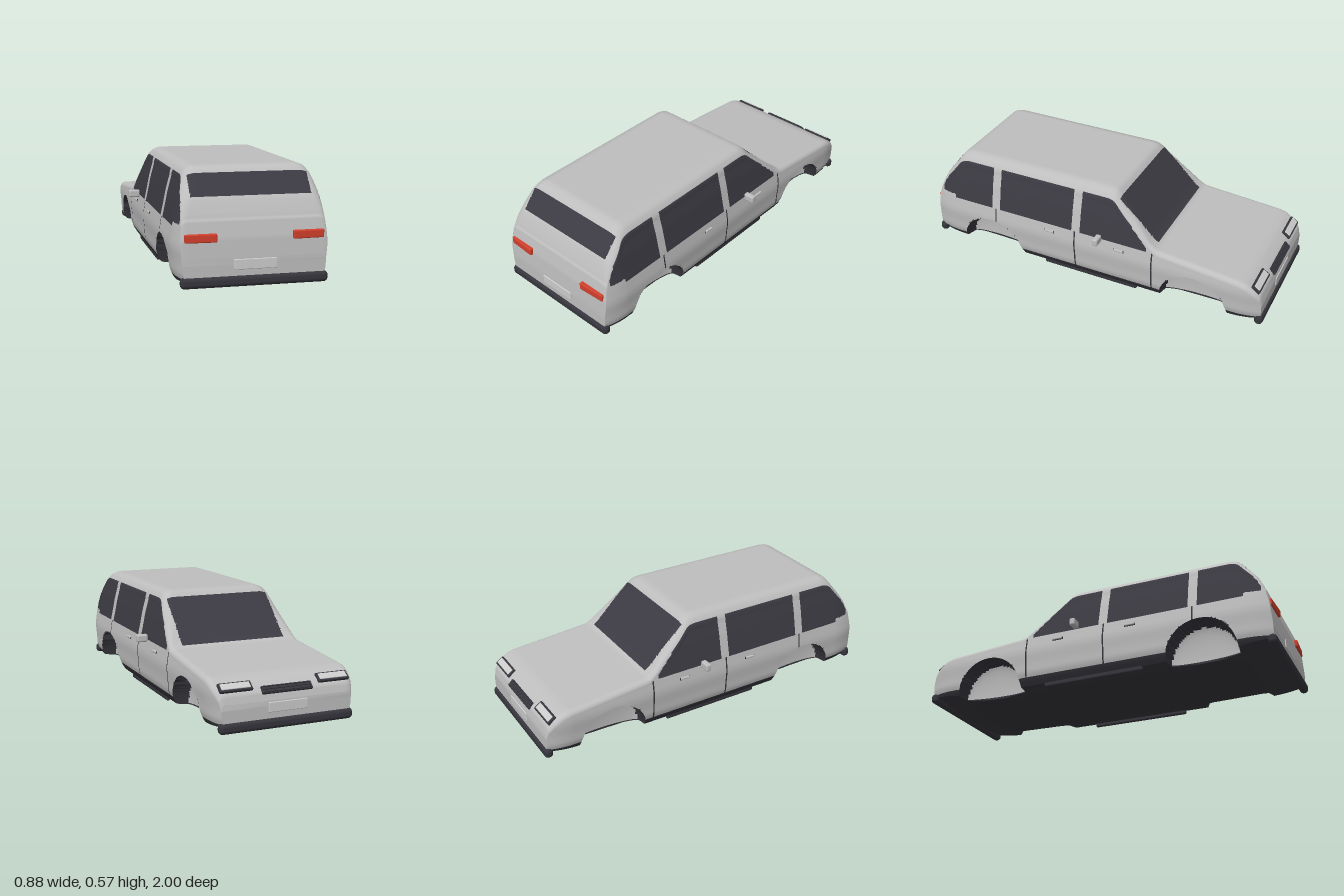
import * as THREE from 'three';
import { toCreasedNormals } from 'three/addons/utils/BufferGeometryUtils.js';
import { RoundedBoxGeometry } from 'three/addons/geometries/RoundedBoxGeometry.js';

const paint = (name, color, side = THREE.FrontSide) => {
  const m = new THREE.MeshStandardMaterial({ color, side });
  m.name = name;
  return m;
};

// Piecewise-linear lookup, softened by averaging nearby samples
function lookup(points, v) {
  if (v <= points[0][0]) return points[0][1];
  for (let i = 1; i < points.length; i++) {
    const [a, p] = points[i - 1], [b, q] = points[i];
    if (v <= b) return p + (q - p) * (v - a) / (b - a);
  }
  return points[points.length - 1][1];
}
const soft = (points, v, s) =>
  (lookup(points, v - s) + 2 * lookup(points, v) + lookup(points, v + s)) / 4;

// Roof line by z (nose at -z) and half width by height
const ROOF = [[-0.987, 0.16], [-0.975, 0.2], [-0.95, 0.228], [-0.9, 0.26], [-0.86, 0.271],
  [-0.4, 0.312], [-0.36, 0.34], [-0.135, 0.568], [-0.1, 0.575], [0.78, 0.573], [0.82, 0.56],
  [0.92, 0.43], [0.962, 0.335], [0.98, 0.25], [0.987, 0.16]];
const WIDTH = [[0.02, 0.34], [0.05, 0.362], [0.09, 0.376], [0.14, 0.378], [0.2, 0.384], [0.23, 0.383],
  [0.3, 0.372], [0.36, 0.359], [0.43, 0.345], [0.5, 0.326], [0.56, 0.305]];
const BASE = [[-0.987, 0.035], [-0.8, 0.014], [-0.4, 0.004], [0.4, 0.004], [0.8, 0.014], [0.987, 0.035]];
const SEAMS = [-0.38, 0.08, 0.58];
const ARCH = { z: 0.615, y: 0.025, r: 0.193 };

const roofAt = z => (Math.abs(z) > 0.96 ? lookup(ROOF, z) : soft(ROOF, z, 0.012));
const planAt = z => 1 - 0.075 * Math.max(0, (Math.abs(z) - 0.84) / 0.147) ** 2;

// Row counts: underside, sill, door, window, roof corner, roof
const ROWS = [8, 4, 24, 24, 10, 24];
const START = ROWS.map((_, i) => ROWS.slice(0, i).reduce((a, b) => a + b, 0));
const H = START[5] + ROWS[5], N = 2 * H;

// Right half of one cross-section, from bottom centre to top centre
function halfSection(z) {
  const T = roofAt(z), B = lookup(BASE, z), plan = planAt(z);
  const r = 0.03 + 0.045 * THREE.MathUtils.smoothstep(T, 0.32, 0.52);
  const W = y => soft(WIDTH, y, 0.012) * plan;
  const shoulder = T - r, yb = B + 0.02, belt = Math.min(0.298, shoulder);
  const levels = [yb, 0.066, belt, shoulder];
  const pts = [];
  for (let s = 0; s < 6; s++) {
    const last = s === 5 ? ROWS[s] : ROWS[s] - 1;
    for (let k = 0; k <= last; k++) {
      const t = k / ROWS[s];
      let x, y, pz = z, inside = false;
      if (s === 0) {
        x = W(yb) * t;
        y = B + (yb - B) * t ** 3;
      } else if (s < 4) {
        y = levels[s - 1] + (levels[s] - levels[s - 1]) * t;
        x = W(y);
      } else if (s === 4) {
        const a = t * Math.PI / 2;
        x = W(shoulder) - r * 1.05 * (1 - Math.cos(a));
        y = shoulder + r * Math.sin(a);
      } else {
        x = (W(shoulder) - r * 1.05) * (1 - t);
        y = T;
      }
      // straight edges for the front and rear glass
      if (s > 3 && T > 0.32 && Math.abs(x - 0.297) < 0.0055) x = 0.297;
      // wheel arches: round rim, recessed bowl
      if (s < 3) {
        const cz = ARCH.z * Math.sign(z), d = Math.hypot(z - cz, y - ARCH.y);
        if (Math.abs(d - ARCH.r) < 0.006 && s > 0) {
          pz = cz + (z - cz) * ARCH.r / d;
          y = ARCH.y + (y - ARCH.y) * ARCH.r / d;
        } else if (d < ARCH.r) {
          inside = true;
          x = Math.min(x, 0.295 - 0.035 * Math.sqrt(1 - (d / ARCH.r) ** 2));
        }
      }
      pts.push({ x, y, z: pz, inside });
    }
  }
  return pts;
}

// Surface colour: 0 paint, 1 glass, 2 dark trim
function cellColour(h, z, y, x, rim) {
  const T = roofAt(z);
  if (h < START[1] || rim === 1) return 2;
  if (rim === 2) return 0;
  if (h < START[2]) return 2;
  if (h < START[3] && SEAMS.some(s => Math.abs(z - s) < 0.004)) return 2;
  const top = h >= START[4];
  const pane = (z > -0.345 && z < 0.05) || (z > 0.1 && z < 0.555) || (z > 0.605 && z < 0.94);
  if (h >= START[3] && pane && y > 0.297 && y < Math.min(0.552, T - 0.038)
    && !(z > 0.85 && y < 0.318)) return 1;
  if (top && x < 0.297 && y > T - 0.025) {
    if (z > -0.385 && z < -0.16) return 1;
    if (z > 0.7 && T > 0.44 && T < 0.543) return 1;
  }
  return 0;
}

function bodyGeometry() {
  // stations are closer together where the roof line is steep
  const keys = [...ROOF.map(p => p[0]), ...SEAMS.flatMap(s => [s - 0.004, s + 0.004]),
    -0.385, -0.345, -0.16, 0.05, 0.1, 0.555, 0.605, 0.834, 0.912, 0.94].sort((a, b) => a - b);
  const zs = [keys[0]];
  for (let i = 1; i < keys.length; i++) {
    const a = keys[i - 1], b = keys[i];
    const n = Math.ceil(Math.hypot(b - a, lookup(ROOF, b) - lookup(ROOF, a)) / 0.0105);
    for (let k = 1; k <= n; k++) zs.push(a + (b - a) * k / n);
  }
  const rings = zs.map(halfSection), pos = [], faces = [[], [], []];
  for (const ring of rings)
    for (let k = 0; k < N; k++) {
      const p = ring[k <= H ? k : N - k];
      pos.push(k <= H ? p.x : -p.x, p.y, p.z);
    }
  for (let i = 0; i < zs.length - 1; i++)
    for (let k = 0; k < N; k++) {
      const h = k < H ? k : N - 1 - k;
      const q = [rings[i][h], rings[i][h + 1], rings[i + 1][h], rings[i + 1][h + 1]];
      const mean = f => (q[0][f] + q[1][f] + q[2][f] + q[3][f]) / 4;
      const n = q.filter(p => p.inside).length;
      const c = cellColour(h, (zs[i] + zs[i + 1]) / 2, mean('y'), mean('x'), n === 4 ? 2 : n ? 1 : 0);
      const a = i * N + k, b = i * N + (k + 1) % N;
      faces[c].push(a, b, b + N, a, b + N, a + N);
    }
  // flat nose and tail
  const e = (zs.length - 1) * N;
  for (let k = 0; k < H; k++) {
    const m = (N - k) % N, f = faces[k < START[2] ? 2 : 0];
    f.push(e + k, e + k + 1, e + N - k - 1, e + k, e + N - k - 1, e + m);
    f.push(k + 1, k, N - k - 1, N - k - 1, k, m);
  }
  const g = new THREE.BufferGeometry();
  g.setAttribute('position', new THREE.Float32BufferAttribute(pos, 3));
  g.setIndex(faces.flat());
  let start = 0;
  faces.forEach((f, i) => { g.addGroup(start, f.length, i); start += f.length; });
  g.scale(100, 100, 100);
  return toCreasedNormals(g, 0.7).scale(0.01, 0.01, 0.01);
}

export function createModel() {
  const car = new THREE.Group();
  car.name = 'estateCar';
  const body = paint('bodyPaint', 0xbebebe), glass = paint('glass', 0x3c3b43);
  const trim = paint('darkTrim', 0x36353c), red = paint('tailLightRed', 0xd2402c);
  const lens = paint('lens', 0xcccccc);

  const shell = new THREE.Mesh(bodyGeometry(), [body, glass, trim]);
  shell.name = 'bodyShell';
  car.add(shell);

  const block = (name, mat, [w, h, d], [x, y, z], rx = 0, ry = 0, r = 0.3) => {
    const m = new THREE.Mesh(new RoundedBoxGeometry(w, h, d, 3, r * Math.min(w, h, d)), mat);
    m.name = name;
    m.position.set(x, y, z);
    m.rotation.set(rx, ry, 0);
    car.add(m);
  };

  // Bumpers and number plates
  for (const [end, s] of [['front', -1], ['rear', 1]]) {
    block(end + 'Bumper', trim, [0.72, 0.054, 0.046], [0, 0.047, 0.977 * s], 0, 0, 0.45);
    block(end + 'Plate', lens, [0.21, 0.05, 0.012], [0, 0.127, 0.986 * s]);
  }

  // Grille with slats
  block('grille', trim, [0.27, 0.016, 0.042], [0, 0.209, -0.97], -0.8);
  for (let i = -1; i <= 1; i++)
    block('grilleSlat', trim, [0.26, 0.006, 0.006], [0, 0.216 - i * 0.01, -0.976 - i * 0.01], -0.8);

  for (const s of [-1, 1]) {
    // Lights
    block('headlightFrame', trim, [0.172, 0.018, 0.054], [0.262 * s, 0.232, -0.946], -0.62);
    block('headlightLens', lens, [0.152, 0.012, 0.036], [0.262 * s, 0.238, -0.95], -0.62);
    block('tailLight', red, [0.154, 0.04, 0.03], [0.262 * s, 0.256, 0.976], 0, 0.05 * s, 0.2);
    // Mirrors
    block('mirrorStalk', trim, [0.04, 0.012, 0.014], [0.378 * s, 0.31, -0.075]);
    block('mirror', body, [0.062, 0.042, 0.032], [0.411 * s, 0.313, -0.075]);
    // Door handles
    for (const z of [0.235, -0.188]) {
      block('handleRecess', trim, [0.006, 0.014, 0.062], [0.379 * s, 0.257, z]);
      block('doorHandle', body, [0.014, 0.011, 0.056], [0.381 * s, 0.259, z]);
    }
    // Side rails under the doors
    block('sideRail', trim, [0.02, 0.03, 0.57], [0.336 * s, 0.017, 0.005], 0, 0, 0.45);
  }
  return car;
}
